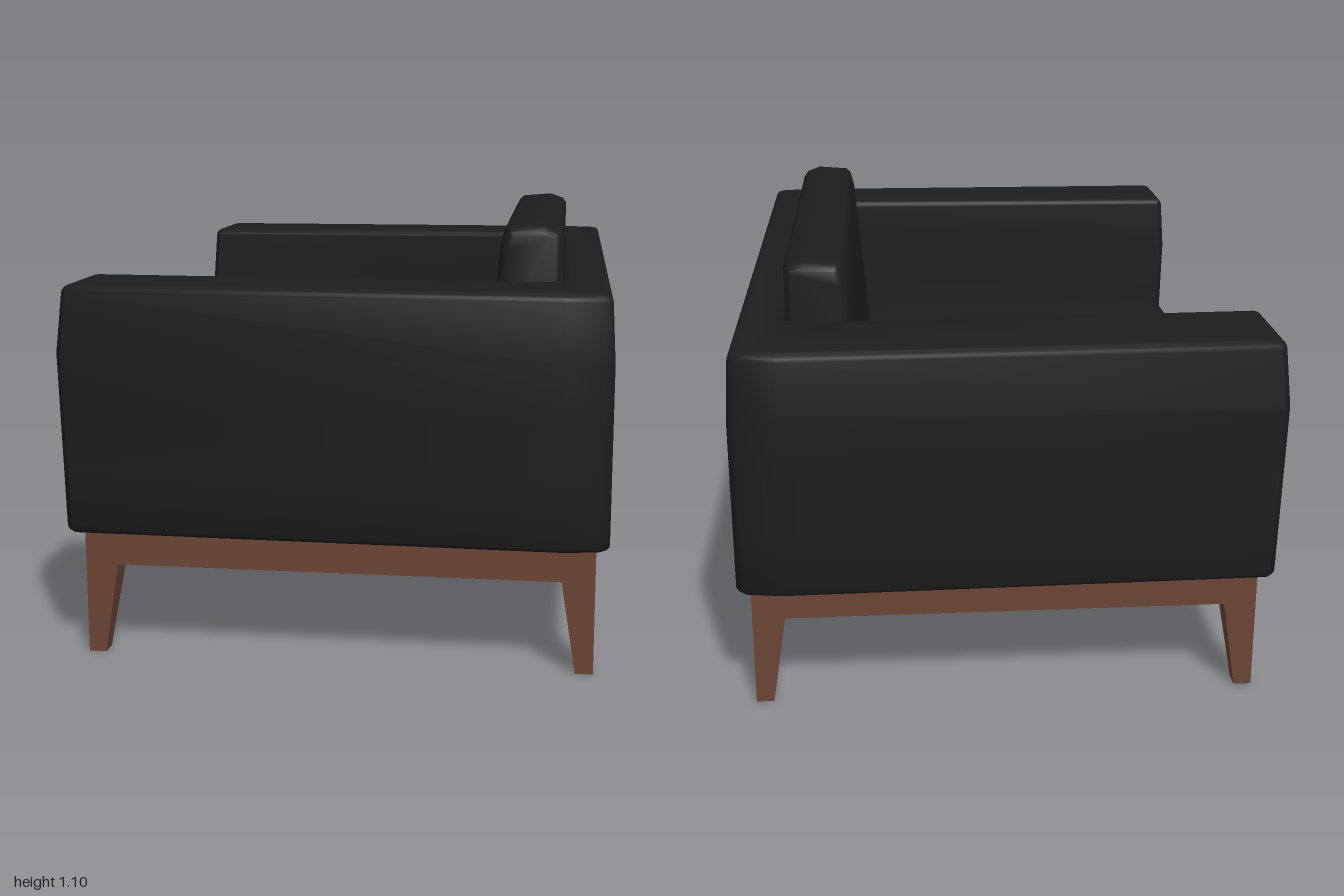
import * as THREE from 'three';
import { toCreasedNormals } from 'three/addons/utils/BufferGeometryUtils.js';

const fabric = new THREE.MeshStandardMaterial({ color: 0x1d1d1d });
fabric.name = 'black upholstery';
const wood = new THREE.MeshStandardMaterial({ color: 0x6b4535 });
wood.name = 'brown wood';

function addMesh(parent, name, geometry, material) {
  const mesh = new THREE.Mesh(geometry, material);
  mesh.name = name;
  parent.add(mesh);
  return mesh;
}

function box(parent, name, material, x0, x1, y0, y1, z0, z1) {
  const g = new THREE.BoxGeometry(x1 - x0, y1 - y0, z1 - z0);
  g.translate((x0 + x1) / 2, (y0 + y1) / 2, (z0 + z1) / 2);
  return addMesh(parent, name, g, material);
}

// Extrudes an outline over the given length, with rounded end edges kept inside it
function softExtrude(points, length, bevel, { reach = bevel, steps = 1 } = {}) {
  const shape = new THREE.Shape(points.map(([x, y]) => new THREE.Vector2(x, y)));
  const g = new THREE.ExtrudeGeometry(shape, {
    depth: length - 2 * reach, steps,
    bevelSize: bevel, bevelThickness: reach, bevelOffset: -bevel, bevelSegments: 4,
  });
  return g.translate(0, 0, reach);
}

// U-shaped shell: two arms joined by the back, swelling to y = 0.8 and pinched at the top
function shellGeometry() {
  const plan = [
    [-0.682, 0.962], [-0.665, 0.98], [0.57, 1], [0.665, 0.985], [0.686, 0.962],
    [0.686, -0.962], [0.665, -0.985], [0.57, -1], [-0.665, -0.98], [-0.682, -0.962],
    [-0.682, -0.705], [-0.667, -0.69], [0.5, -0.72], [0.565, -0.7],
    [0.565, 0.72], [0.5, 0.745], [-0.667, 0.715], [-0.682, 0.73],
  ].map(([x, z]) => [x, -z]);
  const g = softExtrude(plan, 0.63, 0.02, { steps: 4 });
  g.rotateX(-Math.PI / 2).translate(0, 0.33, 0);
  const p = g.attributes.position;
  for (let i = 0; i < p.count; i++) {
    const x = p.getX(i), y = p.getY(i);
    const top = Math.max(0, (y - 0.8) / 0.14);
    const bottom = Math.max(0, (0.8 - y) / 0.45);
    p.setX(i, x * (x < 0 ? 1 - 0.02 * top - 0.014 * bottom : 1 - 0.012 * top));
    p.setZ(i, p.getZ(i) * (1 - 0.014 * top - 0.006 * bottom));
  }
  return toCreasedNormals(g, 0.8);
}

// Tapered leg with vertical outer faces, narrowing towards its outer corner
function legGeometry(sx, sz) {
  const w = 0.085, h = 0.25;
  const g = new THREE.BoxGeometry(w, h, w);
  g.translate(-sx * w / 2, h / 2, -sz * w / 2);
  const p = g.attributes.position;
  for (let i = 0; i < p.count; i++) {
    if (p.getY(i) < 0.01) {
      p.setX(i, p.getX(i) * 0.53);
      p.setZ(i, p.getZ(i) * 0.53);
    }
  }
  g.computeVertexNormals();
  return g;
}

export function createModel() {
  const model = new THREE.Group();
  model.name = 'armchair';

  // Upholstery
  addMesh(model, 'armsAndBack', shellGeometry(), fabric);
  box(model, 'seatBase', fabric, -0.665, 0.58, 0.33, 0.47, -0.72, 0.74);

  const seatProfile = [
    [-0.69, 0.455], [0.57, 0.455], [0.57, 0.6], [-0.5, 0.597],
    [-0.62, 0.592], [-0.665, 0.583], [-0.68, 0.565], [-0.69, 0.53],
  ];
  const seat = softExtrude(seatProfile, 1.38, 0.005).translate(0, 0, -0.685);
  addMesh(model, 'seatCushion', toCreasedNormals(seat, 0.7), fabric);

  const backProfile = [
    [0.355, 0.58], [0.56, 0.58], [0.56, 1.07], [0.55, 1.085], [0.51, 1.1],
    [0.42, 1.093], [0.406, 1.08], [0.396, 1.04], [0.388, 0.95], [0.375, 0.8],
  ];
  const back = softExtrude(backProfile, 1.355, 0.022, { reach: 0.07 }).translate(0, 0, -0.657);
  addMesh(model, 'backCushion', toCreasedNormals(back, 0.7), fabric);

  // Wooden frame
  const frame = new THREE.Group();
  frame.name = 'woodenFrame';
  model.add(frame);
  const x0 = -0.64, x1 = 0.655, z1 = 0.92, t = 0.05, y0 = 0.237, y1 = 0.34;
  box(frame, 'bottomPanel', wood, x0 + t, x1 - t, 0.25, 0.335, -z1 + t, z1 - t);
  box(frame, 'frontRail', wood, x0, x0 + t, y0, y1, -z1, z1);
  box(frame, 'backRail', wood, x1 - t, x1, y0, y1, -z1, z1);
  for (const s of [-1, 1]) {
    const a = s * z1, b = s * (z1 - t);
    box(frame, 'sideRail', wood, x0 + t, x1 - t, y0, y1, Math.min(a, b), Math.max(a, b));
    for (const sx of [-1, 1]) {
      const leg = addMesh(frame, 'leg', legGeometry(sx, s), wood);
      leg.position.set(sx < 0 ? x0 : x1, 0, a);
    }
  }
  return model;
}
